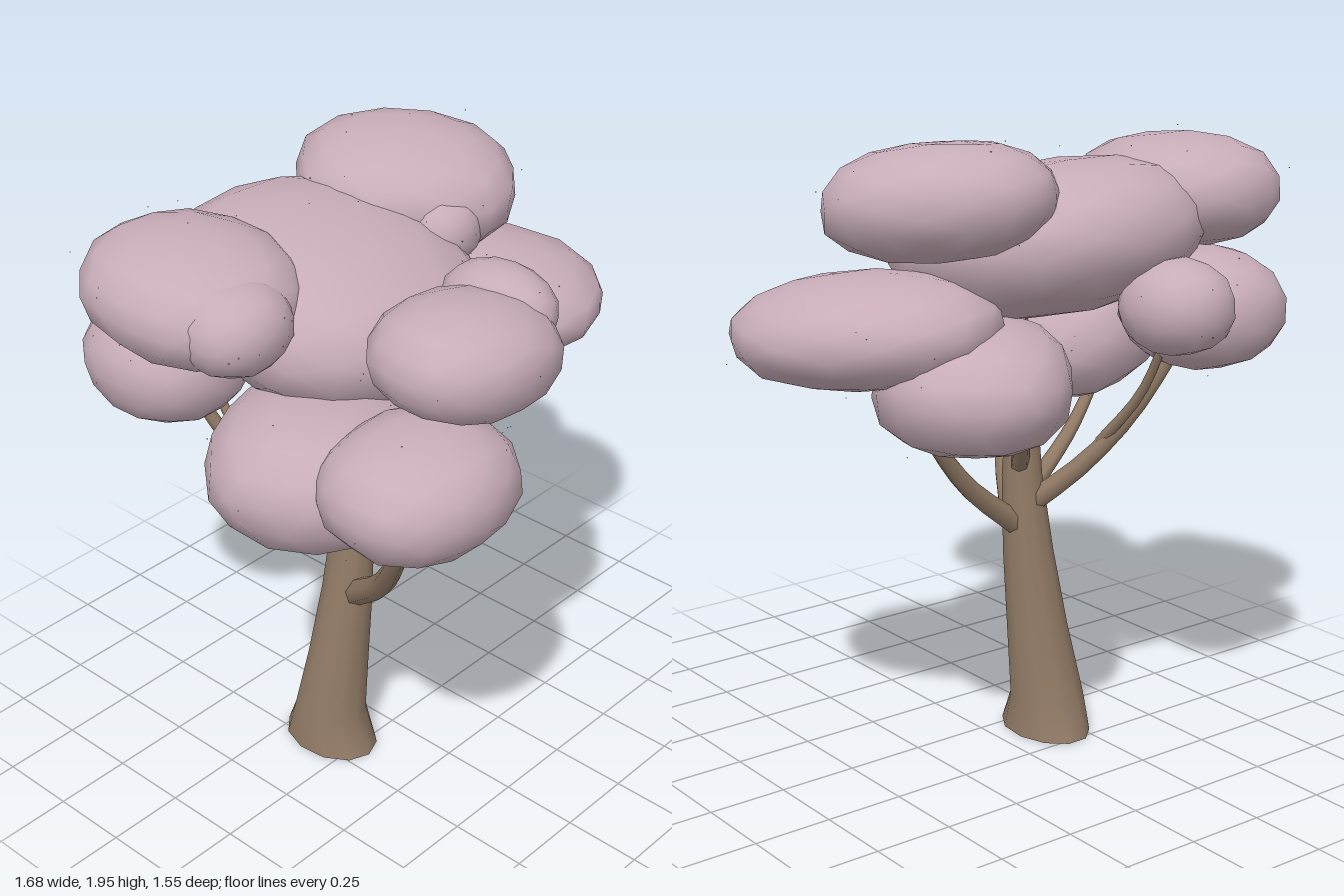
import * as THREE from 'three';
import { mergeVertices, mergeGeometries } from 'three/addons/utils/BufferGeometryUtils.js';

const V = (p) => new THREE.Vector3(...p);

// Small seeded random generator
function seeded(seed) {
  let s = seed;
  return () => {
    s = (s * 16807) % 2147483647;
    return s / 2147483647;
  };
}

// Boxy, low-poly ellipsoid with smooth normals; n sets how full its corners are
function clumpGeometry(radii, n, seed) {
  let geo = new THREE.IcosahedronGeometry(1, 2);
  geo.deleteAttribute('normal');
  geo.deleteAttribute('uv');
  geo = mergeVertices(geo, 1e-3);
  const rand = seeded(seed * 7919 + 17);
  const pos = geo.attributes.position;
  for (let i = 0; i < pos.count; i++) {
    const v = new THREE.Vector3().fromBufferAttribute(pos, i);
    const len = (Math.abs(v.x) ** n + Math.abs(v.y) ** n + Math.abs(v.z) ** n) ** (1 / n);
    v.multiplyScalar((0.985 + 0.035 * rand()) / len).multiply(V(radii));
    pos.setXYZ(i, v.x, v.y, v.z);
  }
  geo.computeVertexNormals();
  return geo;
}

// Tapered tube through a few points
function branchGeometry(points, r0, r1) {
  const curve = new THREE.CatmullRomCurve3(points.map(V));
  const rows = 8, sides = 7;
  const geo = new THREE.TubeGeometry(curve, rows, 1, sides);
  const pos = geo.attributes.position;
  for (let i = 0; i < pos.count; i++) {
    const t = Math.floor(i / (sides + 1)) / rows;
    const c = curve.getPointAt(t);
    const v = new THREE.Vector3().fromBufferAttribute(pos, i).sub(c);
    v.multiplyScalar(r0 + (r1 - r0) * t).add(c);
    pos.setXYZ(i, v.x, v.y, v.z);
  }
  return geo;
}

// Trunk rings from the ground up: [y, centre x, centre z, radius x, radius z]
const TRUNK = [
  [0, -0.18, -0.107, 0.122, 0.168],
  [0.12, -0.18, -0.11, 0.118, 0.116],
  [0.35, -0.155, -0.09, 0.098, 0.096],
  [0.6, -0.132, -0.07, 0.08, 0.081],
  [0.85, -0.112, -0.062, 0.063, 0.066],
  [1.1, -0.11, -0.06, 0.045, 0.05],
  [1.35, -0.1, -0.06, 0.03, 0.03],
];

// Open-ended trunk without a seam
function trunkGeometry() {
  const rows = TRUNK.length - 1;
  let geo = new THREE.CylinderGeometry(1, 1, 1, 11, rows, true);
  geo.deleteAttribute('normal');
  geo.deleteAttribute('uv');
  geo = mergeVertices(geo, 1e-3);
  const pos = geo.attributes.position;
  for (let i = 0; i < pos.count; i++) {
    const [y, cx, cz, rx, rz] = TRUNK[Math.round((pos.getY(i) + 0.5) * rows)];
    pos.setXYZ(i, cx + pos.getX(i) * rx, y, cz + pos.getZ(i) * rz);
  }
  geo.computeVertexNormals();
  return geo;
}

// Limbs: [name, points, start radius, end radius]
const BRANCHES = [
  ['frontLimb', [[-0.14, 0.58, -0.04], [-0.22, 0.74, 0.15], [-0.32, 0.94, 0.3], [-0.41, 1.2, 0.45]], 0.045, 0.02],
  ['frontLimbFork', [[-0.31, 0.92, 0.27], [-0.32, 1.02, 0.29], [-0.33, 1.16, 0.31]], 0.018, 0.014],
  ['leftLimb', [[-0.09, 0.69, -0.07], [0.1, 0.84, -0.08], [0.23, 0.99, -0.1], [0.33, 1.14, -0.12]], 0.038, 0.02],
  ['backLimb', [[-0.12, 0.76, -0.09], [-0.22, 0.88, -0.2], [-0.33, 1.06, -0.32], [-0.44, 1.35, -0.46]], 0.036, 0.016],
  ['backLimbFork', [[-0.27, 0.97, -0.25], [-0.3, 1.15, -0.4], [-0.28, 1.4, -0.55]], 0.018, 0.012],
  ['rightLimb', [[-0.14, 0.78, -0.06], [-0.34, 0.94, -0.02], [-0.48, 1.09, 0.02]], 0.03, 0.018],
  ['leftBackLimb', [[-0.09, 0.88, -0.08], [-0.02, 1.02, -0.18], [0.05, 1.14, -0.28]], 0.03, 0.02],
  ['innerFrontLimb', [[-0.11, 0.89, -0.03], [-0.11, 1.0, 0.05], [-0.11, 1.25, 0.22]], 0.032, 0.022],
  ['frontTwig', [[-0.11, 1.23, 0.21], [-0.06, 1.38, 0.29], [-0.02, 1.56, 0.37]], 0.02, 0.012],
  ['frontTwigFork', [[-0.11, 1.22, 0.2], [-0.15, 1.35, 0.28], [-0.2, 1.55, 0.38]], 0.018, 0.012],
  ['upperLeftTwig', [[0.2, 1.4, -0.12], [0.29, 1.52, -0.09], [0.34, 1.68, -0.06]], 0.018, 0.012],
];

// Foliage: [name, centre, radii, rotation, fullness]
const CLUMPS = [
  ['crownCentre', [-0.12, 1.61, -0.16], [0.45, 0.23, 0.455], [0.2, 0, -0.05], 2.4],
  ['crownUpperRight', [-0.54, 1.73, -0.265], [0.287, 0.172, 0.325], [0.05, 0, 0], 2.35],
  ['crownUpperRightTuft', [-0.6, 1.715, -0.04], [0.165, 0.13, 0.155], [0, 0, 0], 2.3],
  ['crownUpperLeft', [0.335, 1.775, -0.245], [0.335, 0.168, 0.285], [0.13, -0.78, 0], 2.4],
  ['crownUpperLeftTuft', [0.255, 1.71, -0.03], [0.12, 0.11, 0.11], [0, 0, 0], 2.3],
  ['crownLeft', [0.48, 1.4, -0.085], [0.4, 0.165, 0.328], [0.03, -0.95, -0.04], 2.2],
  ['crownFront', [-0.19, 1.64, 0.44], [0.285, 0.165, 0.242], [0, 0, -0.12], 2.3],
  ['crownFrontTuft', [0.02, 1.69, 0.385], [0.13, 0.122, 0.182], [0, 0, 0], 2.2],
  ['crownFrontRight', [-0.455, 1.37, 0.51], [0.285, 0.175, 0.253], [0, 0, 0], 2.35],
  ['crownLowerRight', [-0.415, 1.275, 0.11], [0.39, 0.21, 0.315], [0, 0.5, -0.13], 2.5],
  ['crownLowerLeft', [0.24, 1.24, -0.267], [0.36, 0.19, 0.29], [0, 1.0, 0], 2.5],
  ['crownBackRight', [-0.46, 1.41, -0.48], [0.23, 0.18, 0.25], [0, 0, 0], 2.3],
  ['crownBack', [-0.25, 1.46, -0.6], [0.16, 0.14, 0.17], [0, 0, 0], 2.2],
];

// Tiny loose petals floating round the clumps
function petalGeometry() {
  const rand = seeded(4242);
  const petals = [];
  for (const [, centre, radii] of CLUMPS) {
    for (let k = 0; k < 12; k++) {
      const a = rand() * Math.PI * 2;
      const h = rand() * 2 - 1;
      const s = Math.sqrt(1 - h * h);
      const p = V([s * Math.cos(a), h, s * Math.sin(a)]).multiply(V(radii));
      p.multiplyScalar(1.02 + 0.2 * rand()).add(V(centre));
      p.y = Math.min(p.y, 1.995);
      petals.push(new THREE.TetrahedronGeometry(0.003).translate(p.x, p.y, p.z));
    }
  }
  return mergeGeometries(petals);
}

export function createModel() {
  const bark = new THREE.MeshStandardMaterial({ color: 0x927b66, side: THREE.DoubleSide });
  bark.name = 'bark brown';
  const blossom = new THREE.MeshStandardMaterial({ color: 0xc8adb8 });
  blossom.name = 'blossom pink';

  const tree = new THREE.Group();
  tree.name = 'tree';
  const add = (name, geo, mat) => {
    const mesh = new THREE.Mesh(geo, mat);
    mesh.name = name;
    tree.add(mesh);
    return mesh;
  };

  add('trunk', trunkGeometry(), bark);
  for (const [name, points, r0, r1] of BRANCHES) add(name, branchGeometry(points, r0, r1), bark);

  CLUMPS.forEach(([name, centre, radii, rotation, fullness], i) => {
    const clump = add(name, clumpGeometry(radii, fullness, i + 1), blossom);
    clump.position.set(...centre);
    clump.rotation.set(...rotation);
  });
  add('loosePetals', petalGeometry(), blossom);
  return tree;
}
